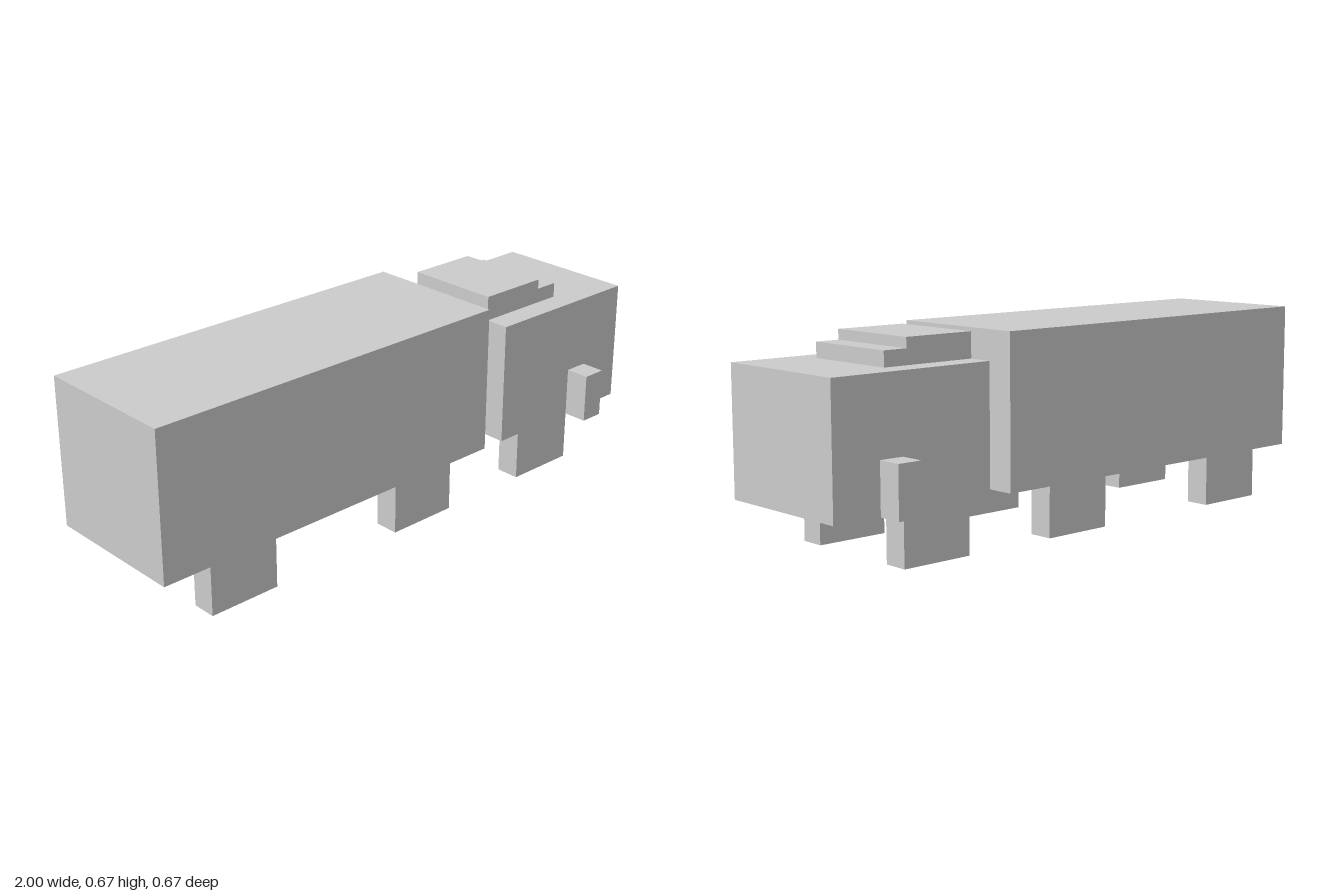
import * as THREE from 'three';

const UNIT = 1 / 12; // the whole model sits on a grid of twelfths

export function createModel() {
  const group = new THREE.Group();
  const material = new THREE.MeshStandardMaterial({ color: 0xcccccc, flatShading: true });

  // Box given by its min and max corner along each axis, in grid units
  function block(name, [x0, x1], [y0, y1], [z0, z1]) {
    const geometry = new THREE.BoxGeometry((x1 - x0) * UNIT, (y1 - y0) * UNIT, (z1 - z0) * UNIT);
    const mesh = new THREE.Mesh(geometry, material);
    mesh.name = name;
    mesh.position.set(x0 + x1, y0 + y1, z0 + z1).multiplyScalar(UNIT / 2);
    group.add(mesh);
  }

  // The same box on both sides of the truck
  function pair(name, x, y, [z0, z1]) {
    block(name + 'Front', x, y, [z0, z1]);
    block(name + 'Back', x, y, [-z1, -z0]);
  }

  // Cargo trailer and driver's cab
  block('trailer', [-12, 4], [2, 8], [-3, 3]);
  block('cab', [5, 12], [2, 7], [-3, 3]);

  // Stepped wind deflector on the cab roof
  block('roofDeflector', [5, 8], [7, 8], [-2, 2]);
  block('roofDeflectorStep', [8, 9], [7, 7.6], [-2, 2]);

  // Square wheels: two trailer axles and one cab axle
  [['rearWheel', -10], ['middleWheel', -1], ['cabWheel', 6]].forEach(([name, x]) =>
    pair(name, [x, x + 3], [0, 2], [2, 3]));

  // Side mirrors
  pair('mirror', [9, 10], [2, 4], [3, 4]);

  return group;
}
